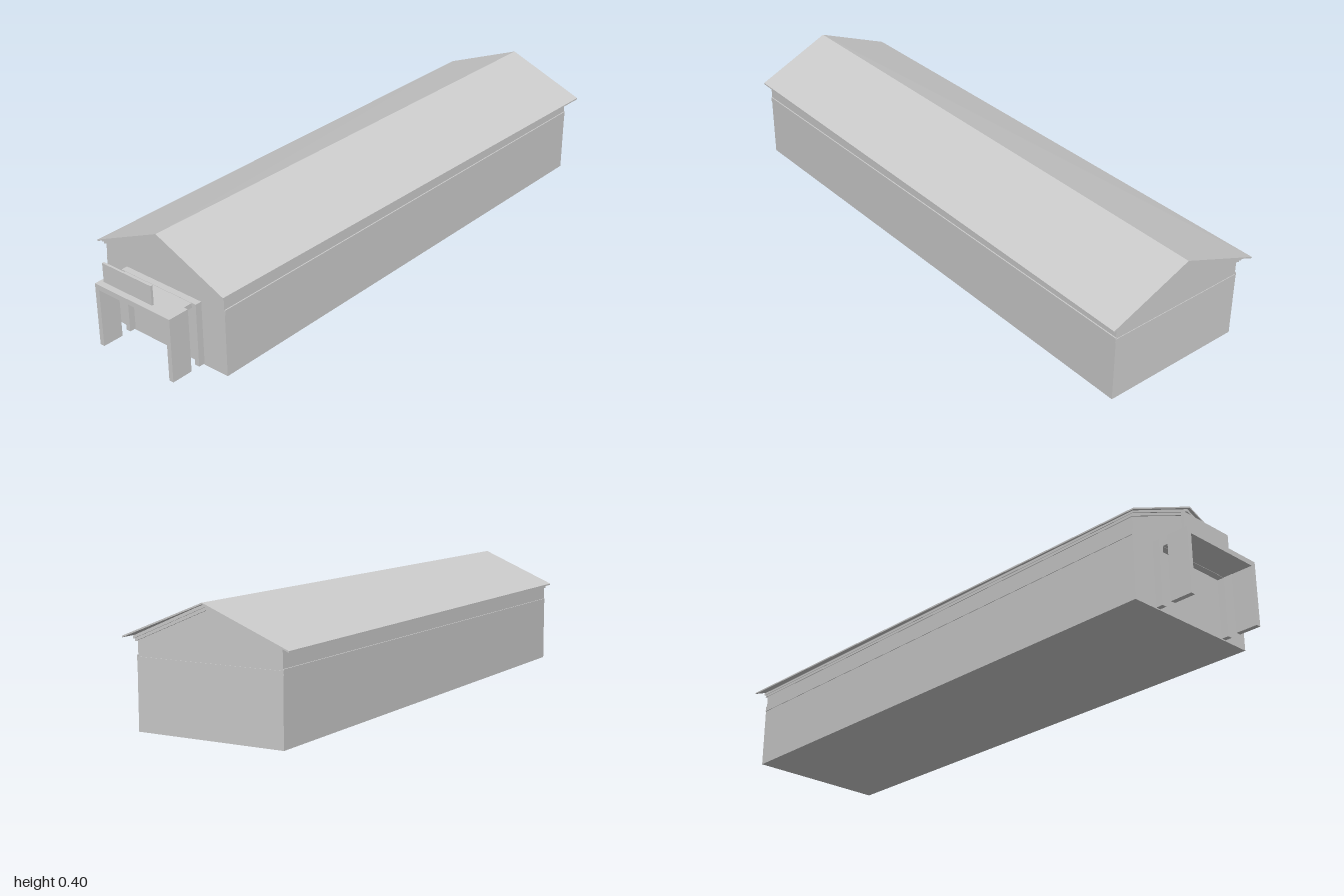
import * as THREE from 'three';

const mat = new THREE.MeshStandardMaterial({ color: 0xcccccc, flatShading: true });

function add(group, name, geometry) {
  const mesh = new THREE.Mesh(geometry, mat);
  mesh.name = name;
  group.add(mesh);
  return mesh;
}

// Box given by its min and max corners
function box(group, name, x0, x1, y0, y1, z0, z1) {
  const mesh = add(group, name, new THREE.BoxGeometry(x1 - x0, y1 - y0, z1 - z0));
  mesh.position.set((x0 + x1) / 2, (y0 + y1) / 2, (z0 + z1) / 2);
  return mesh;
}

// Extrude an xy outline from z0 to z1
function prism(points, z0, z1) {
  const shape = new THREE.Shape(points.map(([x, y]) => new THREE.Vector2(x, y)));
  const geometry = new THREE.ExtrudeGeometry(shape, { depth: z1 - z0, bevelEnabled: false });
  return geometry.translate(0, 0, z0);
}

// Gable-shaped strip: half width, eave and ridge heights of its lower and upper edges
function chevron(w, eaveLow, ridgeLow, eaveHigh, ridgeHigh, z0, z1) {
  return prism([[-w, eaveLow], [0, ridgeLow], [w, eaveLow],
    [w, eaveHigh], [0, ridgeHigh], [-w, eaveHigh]], z0, z1);
}

// Doorway frame: two posts and a lintel
function portalFrame(name, z0, z1) {
  const frame = new THREE.Group();
  frame.name = name;
  box(frame, 'rightPost', -0.163, -0.146, 0.004, 0.204, z0, z1);
  box(frame, 'leftPost', 0.141, 0.158, 0.004, 0.204, z0, z1);
  box(frame, 'lintel', -0.163, 0.158, 0.204, 0.222, z0, z1);
  return frame;
}

export function createModel() {
  const model = new THREE.Group();
  model.name = 'longHall';

  // Walls: lower block, and a slightly inset gabled upper part
  box(model, 'lowerWalls', -0.2545, 0.2545, 0, 0.225, -0.975, 0.87);
  add(model, 'upperWalls', prism([[-0.2525, 0.225], [0.2525, 0.225], [0.2525, 0.274],
    [0, 0.38], [-0.2525, 0.274]], -0.973, 0.87));
  for (const s of [-1, 1]) {
    const x = s * 0.2545;
    box(model, 'wallBand', x - 0.002, x + 0.002, 0.212, 0.23, -0.974, 0.869);
  }

  // Stepped mouldings under the roof
  add(model, 'lowerMoulding', chevron(0.257, 0.271, 0.378, 0.281, 0.388, -0.98, 0.875));
  add(model, 'upperMoulding', chevron(0.26, 0.279, 0.388, 0.288, 0.398, -0.985, 0.88));

  // Roof slab, narrowing from the back to the front
  const roof = chevron(1, 0.282, 0.397, 0.287, 0.402, -1, 0.89);
  const p = roof.attributes.position;
  for (let i = 0; i < p.count; i++) {
    const t = (p.getZ(i) + 1) / 1.89;
    p.setX(i, p.getX(i) * THREE.MathUtils.lerp(0.29, 0.27, t));
  }
  roof.computeVertexNormals();
  add(model, 'roof', roof);

  // Entrance porch: free-standing frame, wall frame, and canopy between them
  const porch = new THREE.Group();
  porch.name = 'porch';
  porch.add(portalFrame('frontFrame', 0.925, 1), portalFrame('wallFrame', 0.868, 0.893));
  box(porch, 'canopy', -0.146, 0.141, 0.205, 0.221, 0.89, 0.927);
  box(porch, 'signBoard', -0.148, 0.062, 0.222, 0.288, 0.97, 0.978);
  model.add(porch);

  return model;
}
